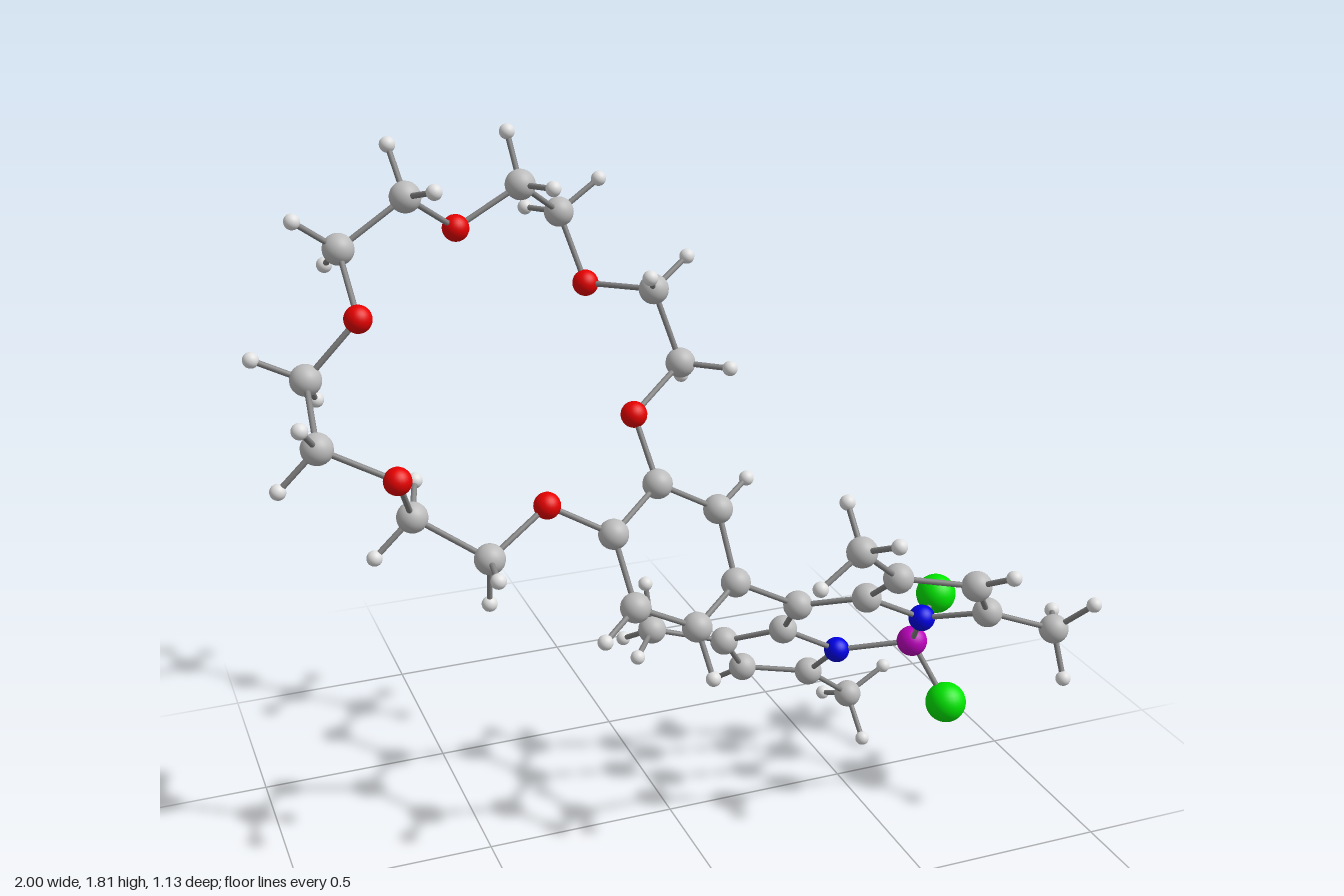
import * as THREE from 'three';

const paint = (name, color) => Object.assign(new THREE.MeshStandardMaterial({ color }), { name });

export function createModel() {
  const model = new THREE.Group();
  model.name = 'ballAndStickMolecule';
  model.position.set(0.002, -0.0055, 0); // rests on the ground, centred

  // Atom kinds: sphere radius and colour
  const kind = (name, radius, color) => ({
    name, geometry: new THREE.SphereGeometry(radius, 24, 16), material: paint(name + 'Colour', color),
  });
  const C = kind('carbon', 0.038, 0xbcbcbc);
  const H = kind('hydrogen', 0.0192, 0xe1e1e1);
  const O = kind('oxygen', 0.0335, 0xf30000);
  const N = kind('nitrogen', 0.0345, 0x0000f3);
  const B = kind('boron', 0.041, 0xbc00bc);
  const Cl = kind('chlorine', 0.0545, 0x00ee00);
  const stickGeometry = new THREE.CylinderGeometry(0.0072, 0.0072, 1, 12, 1, true);
  const stickMaterial = paint('bondGrey', 0x868686);

  const heavy = [];
  const up = new THREE.Vector3(0, 1, 0);

  const ball = (group, type, p) => {
    const mesh = new THREE.Mesh(type.geometry, type.material);
    mesh.name = type.name;
    mesh.position.copy(p);
    group.add(mesh);
  };

  // Thin stick between two points
  const bond = (group, a, b) => {
    const mesh = new THREE.Mesh(stickGeometry, stickMaterial);
    const d = b.clone().sub(a);
    mesh.name = 'bond';
    mesh.scale.y = d.length();
    mesh.position.copy(a).addScaledVector(d, 0.5);
    mesh.quaternion.setFromUnitVectors(up, d.normalize());
    group.add(mesh);
  };

  // Each row: kind, centre, then the hydrogens attached to it
  const part = (name, rows) => {
    const group = new THREE.Group();
    group.name = name;
    model.add(group);
    for (const [type, centre, ...hydrogens] of rows) {
      const p = new THREE.Vector3(...centre);
      ball(group, type, p);
      heavy.push(p);
      for (const h of hydrogens) {
        const q = new THREE.Vector3(...h);
        ball(group, H, q);
        bond(group, p, q);
      }
    }
  };

  // Large ring of oxygens and carbon pairs
  part('crownRingRight', [
    [O, [-0.344, 0.98, 0.07]],
    [C, [-0.504, 0.887, 0.12], [-0.52, 0.89, 0.25], [-0.504, 0.76, 0.1]],
    [C, [-0.664, 0.983, 0.03], [-0.627, 1.026, -0.088], [-0.762, 0.897, 0.04]],
    [O, [-0.717, 1.127, 0.143]],
    [C, [-0.883, 1.207, 0.084], [-0.933, 1.29, 0.178], [-0.976, 1.11, 0.069]],
    [C, [-0.867, 1.31, -0.093], [-0.983, 1.362, -0.127], [-0.83, 1.223, -0.195]],
    [O, [-0.74, 1.449, -0.072]],
    [C, [-0.747, 1.577, -0.217], [-0.852, 1.656, -0.2], [-0.762, 1.51, -0.333]],
  ]);
  part('crownRingLeft', [
    [C, [-0.58, 1.684, -0.225], [-0.6, 1.795, -0.295], [-0.54, 1.72, -0.1]],
    [O, [-0.442, 1.577, -0.306]],
    [C, [-0.275, 1.669, -0.308], [-0.29, 1.79, -0.358], [-0.227, 1.68, -0.192]],
    [C, [-0.142, 1.562, -0.424], [-0.03, 1.635, -0.437], [-0.195, 1.55, -0.546]],
    [O, [-0.097, 1.389, -0.356]],
    [C, [0.037, 1.397, -0.216], [-0.012, 1.46, -0.108], [0.143, 1.46, -0.26]],
    [C, [0.09, 1.212, -0.167], [0.19, 1.212, -0.08], [0.132, 1.141, -0.27]],
    [O, [-0.066, 1.122, -0.084]],
  ]);

  // Six-sided ring joining the crown to the lower part
  part('benzeneRing', [
    [C, [-0.187, 0.892, 0.1]],
    [C, [-0.037, 0.965, 0.005]],
    [C, [0.125, 0.873, 0.008], [0.228, 0.919, -0.053]],
    [C, [0.137, 0.707, 0.102]],
    [C, [-0.007, 0.654, 0.2], [0.01, 0.54, 0.268]],
    [C, [-0.167, 0.735, 0.198], [-0.267, 0.69, 0.262]],
  ]);

  // Central core with the boron centre
  part('boronCore', [
    [C, [0.313, 0.61, 0.099]],
    [B, [0.672, 0.423, 0.065]],
    [Cl, [0.805, 0.488, -0.053]],
    [Cl, [0.736, 0.269, 0.155]],
  ]);

  // Two five-sided rings, each with two methyl groups
  part('upperPyrrole', [
    [C, [0.452, 0.659, 0.212]],
    [N, [0.619, 0.568, 0.204]],
    [C, [0.73, 0.628, 0.34]],
    [C, [0.634, 0.762, 0.438], [0.672, 0.823, 0.542]],
    [C, [0.458, 0.78, 0.362]],
    [C, [0.912, 0.562, 0.37], [0.977, 0.652, 0.443], [0.977, 0.552, 0.258], [0.912, 0.449, 0.432]],
    [C, [0.319, 0.903, 0.431], [0.319, 0.996, 0.344], [0.356, 0.959, 0.544], [0.205, 0.833, 0.449]],
  ]);
  part('lowerPyrrole', [
    [C, [0.335, 0.472, -0.035]],
    [N, [0.5, 0.377, -0.04]],
    [C, [0.479, 0.249, -0.17]],
    [C, [0.308, 0.26, -0.241], [0.264, 0.183, -0.336]],
    [C, [0.217, 0.398, -0.16]],
    [C, [0.629, 0.123, -0.216], [0.743, 0.189, -0.221], [0.607, 0.07, -0.333], [0.634, 0.025, -0.122]],
    [C, [0.025, 0.446, -0.206], [0.018, 0.57, -0.238], [-0.055, 0.429, -0.1], [-0.018, 0.372, -0.32]],
  ]);

  // Sticks between neighbouring larger atoms
  const frame = new THREE.Group();
  frame.name = 'frameBonds';
  model.add(frame);
  heavy.forEach((a, i) => {
    for (const b of heavy.slice(i + 1)) if (a.distanceTo(b) < 0.25) bond(frame, a, b);
  });

  return model;
}
